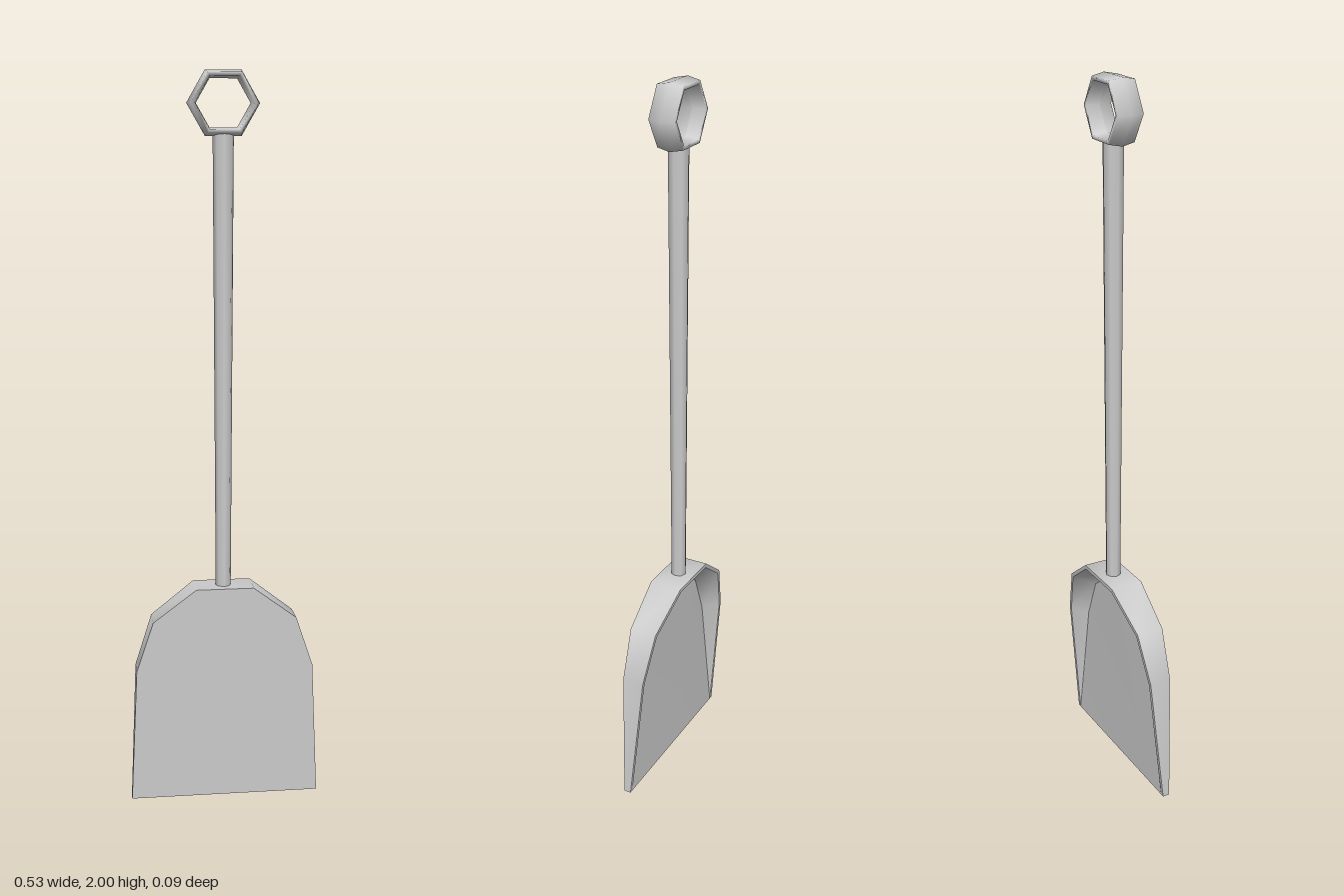
import * as THREE from 'three';

const material = new THREE.MeshStandardMaterial({ color: 0xcccccc });

function addMesh(parent, name, geometry) {
  const mesh = new THREE.Mesh(geometry, material);
  mesh.name = name;
  parent.add(mesh);
  return mesh;
}

// Scoop: flat front plate with a raised rim behind it, open at the bottom.
function scoopGeometry() {
  // half outline, bottom to top: x, y, front z, back z
  const half = [
    [0.264, 0, 0.04, 0.02],
    [0.247, 0.38, 0.046, -0.016],
    [0.2, 0.52, 0.046, -0.032],
    [0.08, 0.61, 0.046, -0.048],
  ];
  const outline = [...half, ...half.slice().reverse().map(([x, ...r]) => [-x, ...r])];

  const inset = ([x, y], t) => [x - (t * x) / 0.264, y - t * (y / 0.61) ** 2];
  const front = outline.map(([x, y, f]) => [x, y, f]);
  const rimOuter = outline.map(([x, y, , b]) => [x, y, b]);
  const rimInner = outline.map((p) => [...inset(p, 0.011), p[3]]);
  const floor = outline.map((p) => [...inset(p, 0.012 + 0.035 * Math.min(1, p[1] / 0.5)), 0.02 + 0.01 * Math.min(1, p[1] / 0.38)]);

  const positions = [];
  const indices = [];
  // each surface has its own vertices so its borders stay sharp
  const strip = (a, b) => {
    const s = positions.length / 3;
    const n = a.length;
    positions.push(...a.flat(), ...b.flat());
    for (let i = 0; i < n - 1; i++) {
      indices.push(s + i, s + n + i, s + n + i + 1, s + i, s + n + i + 1, s + i + 1);
    }
  };
  const cap = (points) => {
    const s = positions.length / 3;
    positions.push(...points.flat());
    for (let i = 1; i < points.length - 1; i++) indices.push(s, s + i, s + i + 1);
  };

  cap(front);
  strip(front, rimOuter);
  strip(rimOuter, rimInner);
  strip(rimInner, floor);
  cap(floor.slice().reverse());
  cap([front[0], front.at(-1), rimOuter.at(-1), rimOuter[0]]);

  const geometry = new THREE.BufferGeometry();
  geometry.setAttribute('position', new THREE.Float32BufferAttribute(positions, 3));
  geometry.setIndex(indices);
  geometry.computeVertexNormals();
  return geometry;
}

export function createModel() {
  const group = new THREE.Group();
  group.name = 'shovel';

  addMesh(group, 'scoop', scoopGeometry());

  // shaft, slightly wider towards the grip
  const shaft = addMesh(group, 'shaft', new THREE.CylinderGeometry(0.028, 0.021, 1.24, 8));
  shaft.position.y = 1.225;

  // hexagonal ring grip, bulging slightly inside and out
  const section = [
    [0.072, 0], [0.078, -0.036], [0.089, -0.036],
    [0.097, 0], [0.089, 0.036], [0.078, 0.036], [0.072, 0],
  ].map(([r, z]) => new THREE.Vector2(r, z));
  const ring = new THREE.LatheGeometry(section, 6, Math.PI / 2);
  ring.rotateX(Math.PI / 2);
  const grip = addMesh(group, 'gripRing', ring);
  grip.position.y = 1.916;

  return group;
}
